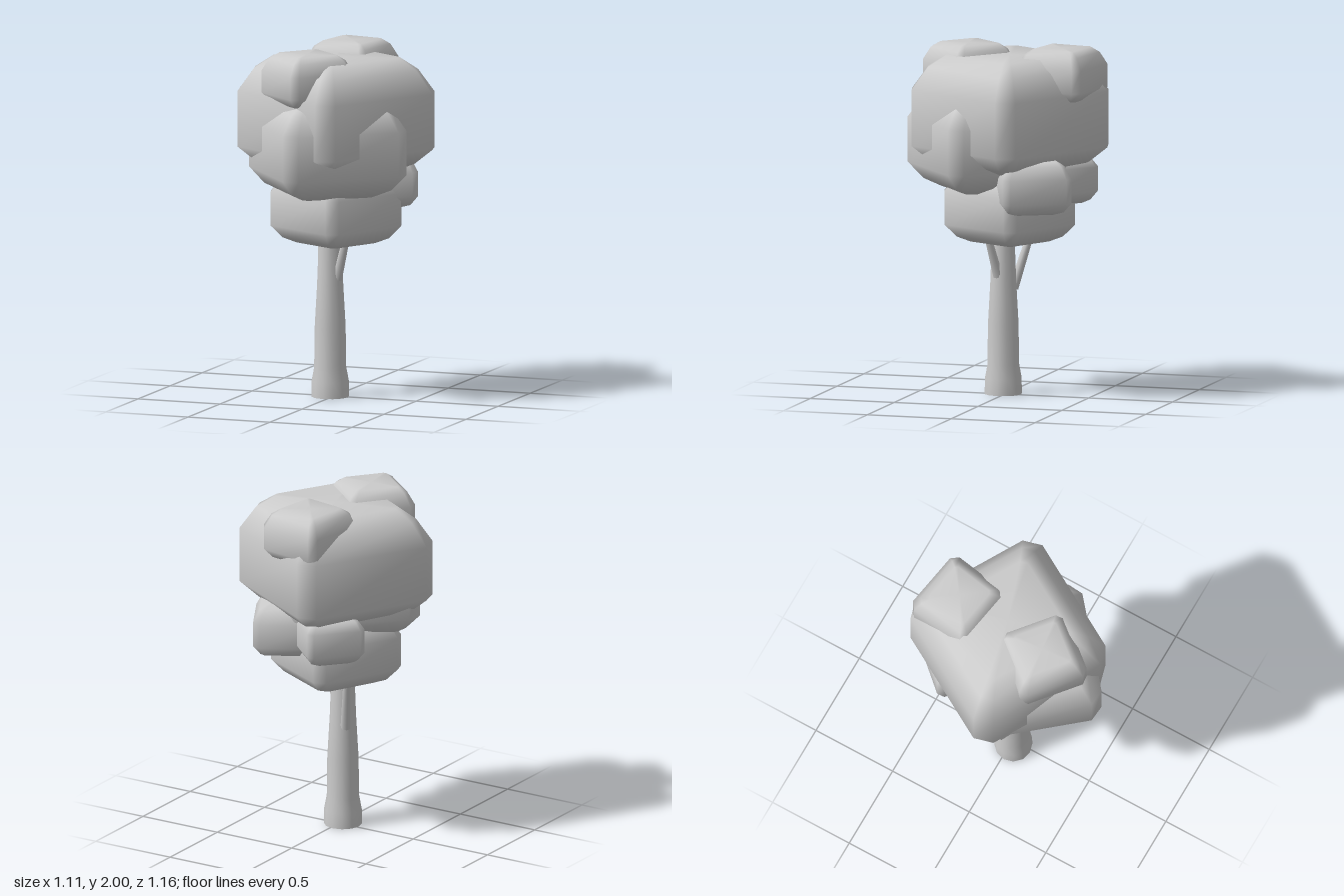
import * as THREE from 'three';

const material = new THREE.MeshStandardMaterial({ color: 0xcccccc });
const openMaterial = new THREE.MeshStandardMaterial({ color: 0xcccccc, side: THREE.DoubleSide });

// Softly bevelled square block, lofted from octagonal rings.
// half: half width, turn: degrees from +x towards +z, ys: six ring heights from bottom to top
function leafBlock(name, x, z, half, turn, ys) {
  const scale = [0.58, 0.8, 1, 1, 0.82, 0.62];
  const cut = [0.07, 0.13, 0.19, 0.19, 0.13, 0.07];
  const cos = Math.cos(THREE.MathUtils.degToRad(turn));
  const sin = Math.sin(THREE.MathUtils.degToRad(turn));
  const positions = [];
  const index = [];
  ys.forEach((y, k) => {
    const a = half * scale[k];
    const b = a - half * cut[k];
    const ring = [[a, -b], [a, b], [b, a], [-b, a], [-a, b], [-a, -b], [-b, -a], [b, -a]];
    for (const [u, v] of ring) positions.push(x + u * cos - v * sin, y, z + u * sin + v * cos);
  });
  const last = (ys.length - 1) * 8;
  const bottom = ys.length * 8;
  const top = bottom + 1;
  positions.push(x, ys[0], z, x, ys[ys.length - 1], z);
  for (let i = 0; i < 8; i++) {
    const j = (i + 1) % 8;
    for (let r = 0; r < last; r += 8) {
      index.push(r + i, r + 8 + i, r + j, r + j, r + 8 + i, r + 8 + j);
    }
    index.push(bottom, i, j, top, last + j, last + i);
  }
  const geometry = new THREE.BufferGeometry();
  geometry.setAttribute('position', new THREE.Float32BufferAttribute(positions, 3));
  geometry.setIndex(index);
  geometry.computeVertexNormals();
  const mesh = new THREE.Mesh(geometry, material);
  mesh.name = name;
  return mesh;
}

// Tapered limb between two points
function branch(name, from, to, r0, r1) {
  const a = new THREE.Vector3(...from);
  const b = new THREE.Vector3(...to);
  const dir = b.clone().sub(a);
  const mesh = new THREE.Mesh(new THREE.CylinderGeometry(r1, r0, dir.length(), 8), material);
  mesh.position.copy(a).add(b).multiplyScalar(0.5);
  mesh.quaternion.setFromUnitVectors(new THREE.Vector3(0, 1, 0), dir.normalize());
  mesh.name = name;
  return mesh;
}

export function createModel() {
  const tree = new THREE.Group();
  tree.name = 'tree';

  // Trunk with a flared, open foot
  const profile = [[0.108, 0], [0.107, 0.09], [0.092, 0.17], [0.089, 0.4], [0.075, 0.65], [0.064, 0.95]];
  const trunk = new THREE.Mesh(
    new THREE.LatheGeometry(profile.map(([r, y]) => new THREE.Vector2(r, y)), 12), openMaterial);
  trunk.position.set(-0.018, 0, 0.015);
  trunk.name = 'trunk';
  tree.add(trunk);

  // Side branches reaching into the crown
  tree.add(
    branch('backBranch', [-0.065, 0.6, -0.03], [-0.135, 0.95, -0.125], 0.03, 0.02),
    branch('leftBranch', [0.03, 0.68, 0.03], [0.11, 0.95, 0.075], 0.03, 0.02),
  );

  // Crown of overlapping leaf blocks
  tree.add(
    leafBlock('mainCrown', 0, -0.03, 0.435, 30, [1.3, 1.345, 1.43, 1.75, 1.88, 1.95]),
    leafBlock('frontCrown', 0, 0.1, 0.37, 50, [1.18, 1.22, 1.31, 1.57, 1.68, 1.74]),
    leafBlock('lowerCrown', 0, -0.03, 0.29, 27, [0.88, 0.91, 0.98, 1.17, 1.25, 1.3]),
    leafBlock('leftTuft', 0.19, -0.22, 0.2, 61, [1.08, 1.095, 1.15, 1.29, 1.36, 1.385]),
    leafBlock('backTuft', -0.12, -0.29, 0.17, 42, [1.1, 1.12, 1.17, 1.31, 1.355, 1.375]),
    leafBlock('topBackTuft', -0.02, -0.335, 0.205, 9.6, [1.7, 1.72, 1.77, 1.9, 1.97, 2]),
    leafBlock('topFrontTuft', -0.07, 0.235, 0.205, 39.5, [1.7, 1.72, 1.77, 1.9, 1.97, 2]),
  );
  return tree;
}
